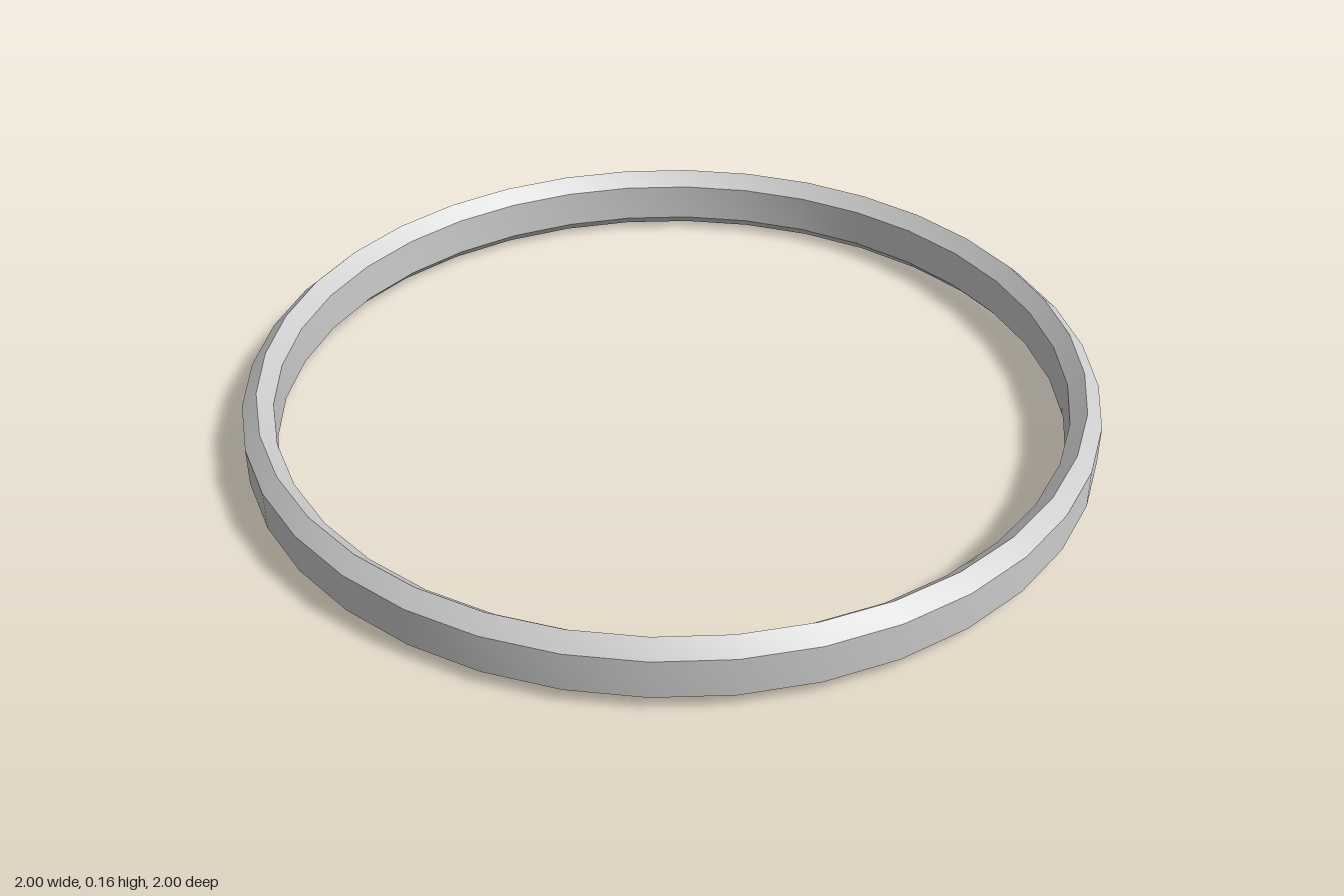
import * as THREE from 'three';
import { toCreasedNormals } from 'three/addons/utils/BufferGeometryUtils.js';

export function createModel() {
  const group = new THREE.Group();
  group.name = 'ring';

  const outer = 1, middle = 0.964, inner = 0.928; // radii
  const height = 0.16, bevel = 0.033;

  // Hexagonal section: upright walls with a bevelled ridge above and below
  const profile = [
    [middle, 0],
    [outer, bevel],
    [outer, height - bevel],
    [middle, height],
    [inner, height - bevel],
    [inner, bevel],
    [middle, 0],
  ].map(([r, y]) => new THREE.Vector2(r, y));

  // Smooth around the ring, sharp along the bevel edges
  const geometry = toCreasedNormals(new THREE.LatheGeometry(profile, 36), Math.PI / 6);
  const band = new THREE.Mesh(geometry, new THREE.MeshStandardMaterial({ color: 0xcccccc }));
  band.name = 'bevelledBand';
  group.add(band);

  return group;
}
